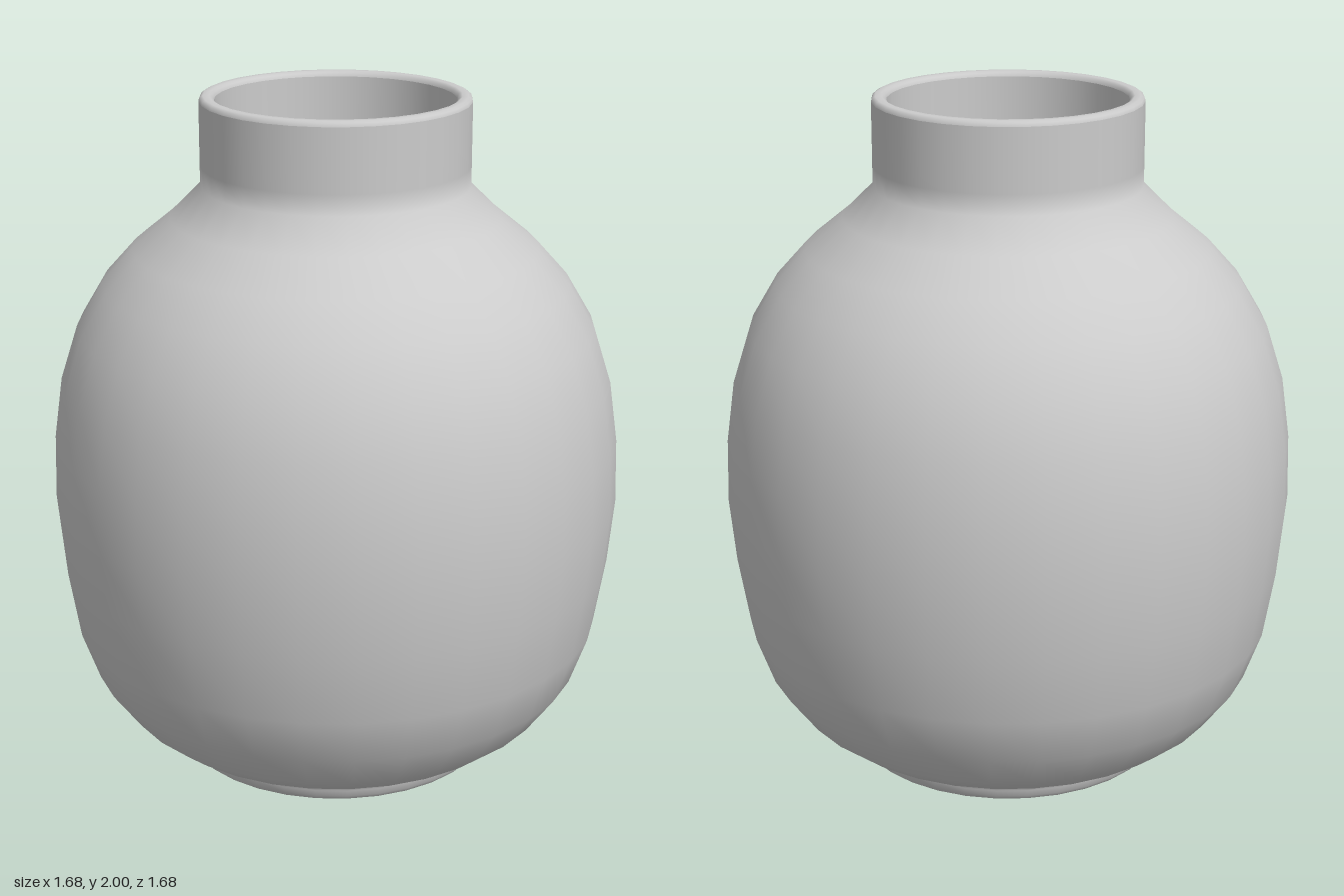
import * as THREE from 'three';

const SIDES = 32;

export function createModel() {
  const group = new THREE.Group();
  group.name = 'vase';
  const material = new THREE.MeshStandardMaterial({ color: 0xcccccc });

  // Revolve a profile of [radius, height] pairs around the y axis
  const turn = (name, profile) => {
    const points = profile.map(([r, y]) => new THREE.Vector2(r, y));
    const mesh = new THREE.Mesh(new THREE.LatheGeometry(points, SIDES), material);
    mesh.name = name;
    group.add(mesh);
  };

  // Belly and shoulder, running smoothly into the neck
  const belly = [
    [0.58, 0.095], [0.65, 0.15], [0.735, 0.265], [0.787, 0.41],
    [0.82, 0.61], [0.838, 0.8], [0.833, 0.99], [0.808, 1.17], [0.757, 1.33],
    [0.68, 1.46], [0.59, 1.56], [0.48, 1.65],
  ];
  turn('body', [[0.485, 0.06], [0.525, 0.07], ...belly, [0.39, 1.74], [0.39, 1.8], [0.39, 1.985]]);

  // Rounded lip
  turn('rim', [[0.39, 1.985], [0.387, 1.995], [0.378, 2], [0.36, 2], [0.351, 1.995], [0.347, 1.985]]);

  // Inner wall, offset from the outside by the wall thickness
  const inside = belly.map(([r, y]) => [r - 0.04, Math.max(y, 0.1)]).reverse();
  turn('innerWall', [[0.347, 1.985], [0.347, 1.8], [0.347, 1.72], ...inside]);
  turn('innerFloor', [[0.54, 0.1], [0, 0.1]]);

  // Foot ring and flat underside
  turn('foot', [[0.465, 0], [0.478, 0.015], [0.482, 0.035], [0.487, 0.05], [0.505, 0.066]]);
  turn('underside', [[0, 0], [0.465, 0]]);

  return group;
}
